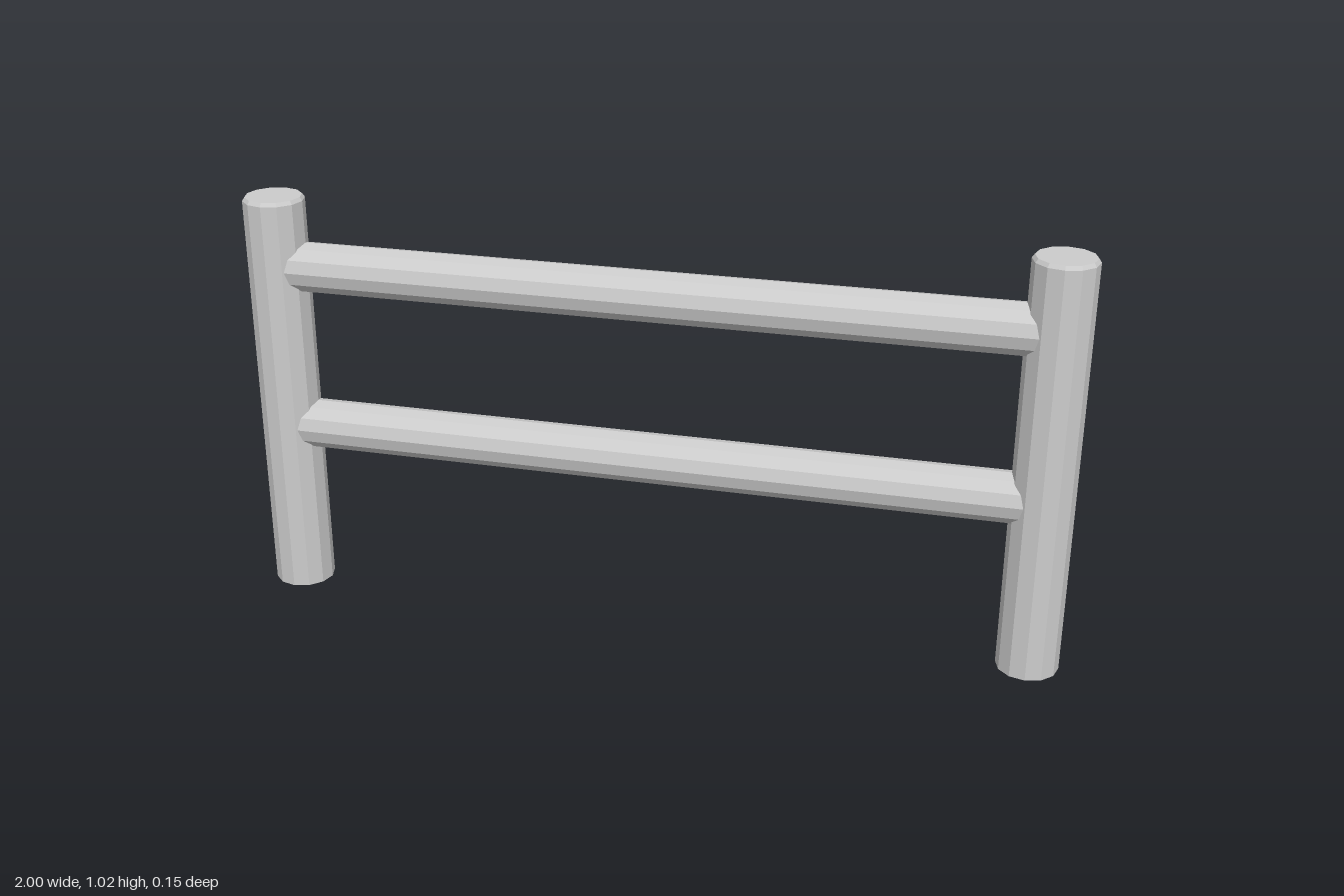
import * as THREE from 'three';

const SIDES = 12;
const POST_X = 0.926, POST_R = 0.074, HEIGHT = 1.018;
const RAIL_R = 0.061;

export function createModel() {
  const model = new THREE.Group();
  model.name = 'railFence';
  const material = new THREE.MeshStandardMaterial({
    color: 0xcccccc, flatShading: true, side: THREE.DoubleSide,
  });

  // Posts: open at the foot, with a small bevel around the flat top
  const profile = [
    [POST_R, 0], [POST_R, HEIGHT - 0.009], [POST_R - 0.006, HEIGHT], [0, HEIGHT],
  ].map(([r, y]) => new THREE.Vector2(r, y));
  const postGeometry = new THREE.LatheGeometry(profile, SIDES);
  for (const side of [1, -1]) {
    const post = new THREE.Mesh(postGeometry, material);
    post.name = side > 0 ? 'leftPost' : 'rightPost';
    post.position.x = side * POST_X;
    model.add(post);
  }

  // Rails: horizontal bars whose ends sink into the posts
  const railGeometry = new THREE.CylinderGeometry(RAIL_R, RAIL_R, 1.82, SIDES, 1, true);
  railGeometry.rotateZ(Math.PI / 2);
  for (const [name, y] of [['upperRail', 0.845], ['lowerRail', 0.435]]) {
    const rail = new THREE.Mesh(railGeometry, material);
    rail.name = name;
    rail.position.y = y;
    model.add(rail);
  }
  return model;
}
